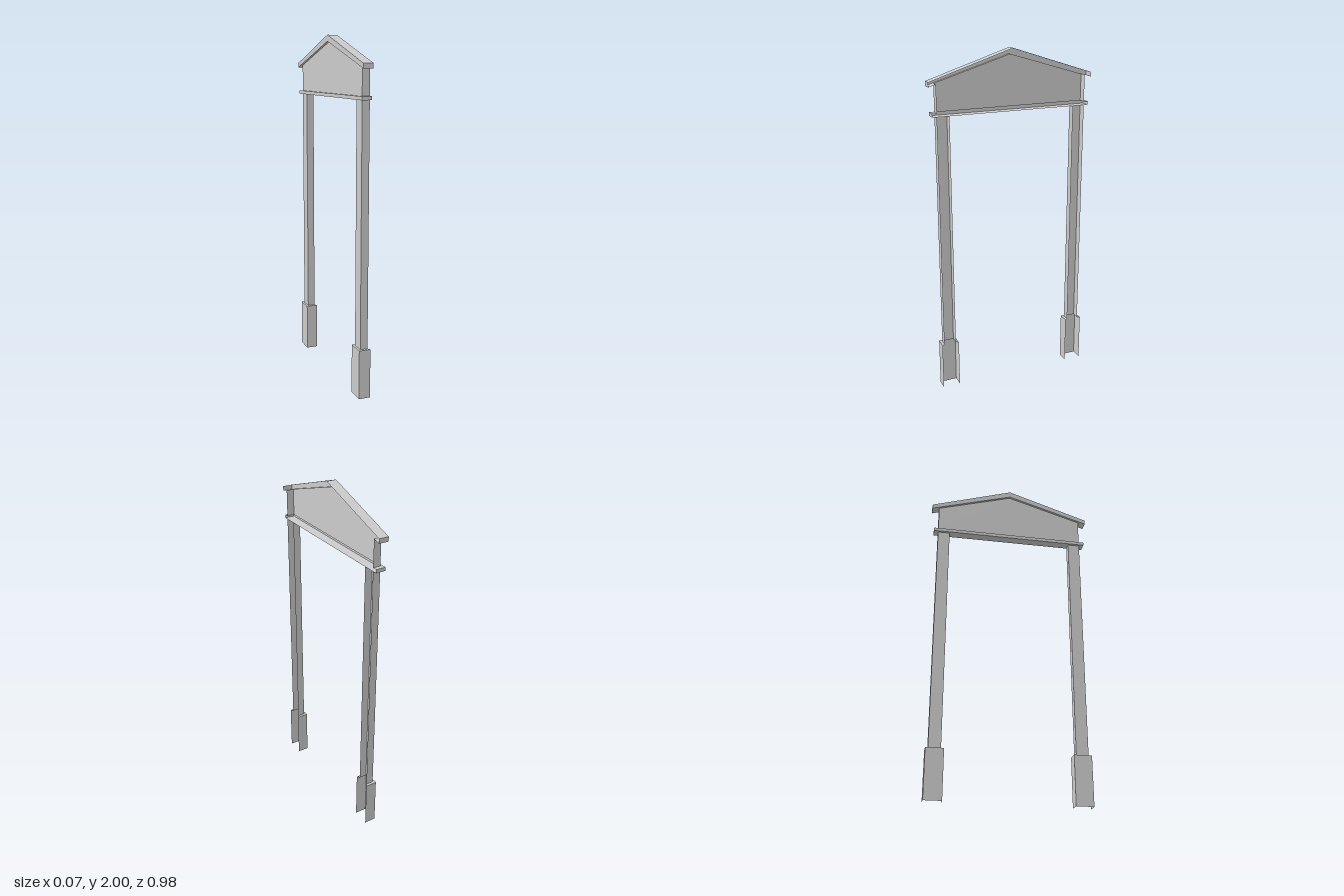
import * as THREE from 'three';

const material = new THREE.MeshStandardMaterial({ color: 0xcccccc, flatShading: true, side: THREE.DoubleSide });

// Depths (x) and key heights (y) of the open-backed shell
const FACE = -0.021, PROUD = -0.035, OPEN = 0.023;
const PLINTH_TOP = 0.285, BEAM_BOTTOM = 1.655, BEAM_TOP = 1.675;
const PLINTH_X = 0.034, GABLE_HALF = 0.448;

// Sheet of flat quads between two matching 3D polylines
function strip(name, a, b) {
  const pos = [];
  for (let i = 0; i + 1 < a.length; i++) {
    for (const p of [a[i], a[i + 1], b[i + 1], a[i], b[i + 1], b[i]]) pos.push(...p);
  }
  const geo = new THREE.BufferGeometry();
  geo.setAttribute('position', new THREE.Float32BufferAttribute(pos, 3));
  geo.computeVertexNormals();
  const mesh = new THREE.Mesh(geo, material);
  mesh.name = name;
  return mesh;
}

// Polyline of [z, y] points placed at depth x
const at = (x, pts) => pts.map(([z, y]) => [x, y, z]);

// Three-sided plan section, open towards +x
const channel = (zc, half, back, front, y) => [
  [front, y, zc + half], [back, y, zc + half], [back, y, zc - half], [front, y, zc - half],
];

function named(name, ...meshes) {
  const g = new THREE.Group();
  g.name = name;
  g.add(...meshes);
  return g;
}

// Post on a wider plinth, joined by a flat mitred ledge
function createPost(name, zc) {
  const post = (y) => channel(zc, 0.0355, FACE, OPEN, y);
  const plinth = (y) => channel(zc, 0.051, -PLINTH_X, PLINTH_X, y);
  return named(name,
    strip('shaft', post(BEAM_BOTTOM), post(PLINTH_TOP)),
    strip('plinthLedge', post(PLINTH_TOP), plinth(PLINTH_TOP)),
    strip('plinth', plinth(PLINTH_TOP), plinth(0)));
}

// Thin moulding under the gable
function createMoulding() {
  const outer = (y) => channel(0, 0.474, PROUD, OPEN, y);
  const ends = [[0.474, BEAM_BOTTOM], [-0.474, BEAM_BOTTOM]];
  return named('moulding',
    strip('mouldingEdge', outer(BEAM_TOP), outer(BEAM_BOTTOM)),
    strip('mouldingLedge', channel(0, GABLE_HALF, FACE, OPEN, BEAM_TOP), outer(BEAM_TOP)),
    strip('mouldingUnderside', at(PROUD, ends), at(OPEN, ends)));
}

// Pitched roof trim over the recessed gable panel
function createGable() {
  const apexLow = 1.964, eaveLow = 1.817, eaveHigh = 1.843, eave = 0.49;
  const lowY = apexLow + (eaveLow - apexLow) * GABLE_HALF / eave;
  const high = [[eave, eaveHigh], [0, 2], [-eave, eaveHigh]];
  const low = [[eave, eaveLow], [0, apexLow], [-eave, eaveLow]];
  const roofLine = [[-GABLE_HALF, lowY], [-eave, eaveLow], [-eave, eaveHigh], [0, 2],
    [eave, eaveHigh], [eave, eaveLow], [GABLE_HALF, lowY]];
  const soffit = [[GABLE_HALF, lowY], [0, apexLow], [-GABLE_HALF, lowY]];
  // panel outline, starting and ending at the open edge
  const outline = (y, yMid) => [
    [OPEN, y, GABLE_HALF], [FACE, y, GABLE_HALF], [FACE, yMid, 0],
    [FACE, y, -GABLE_HALF], [OPEN, y, -GABLE_HALF],
  ];
  return named('gable',
    strip('gablePanel', outline(lowY, apexLow), outline(BEAM_TOP, BEAM_TOP)),
    strip('roofCover', at(PROUD, roofLine), at(OPEN, roofLine)),
    strip('roofFascia', at(PROUD, high), at(PROUD, low)),
    strip('roofSoffit', at(PROUD, soffit), at(FACE, soffit)));
}

export function createModel() {
  const model = named('doorSurround',
    createPost('frontPost', 0.4125),
    createPost('backPost', -0.4125),
    createMoulding(),
    createGable());
  return model;
}
